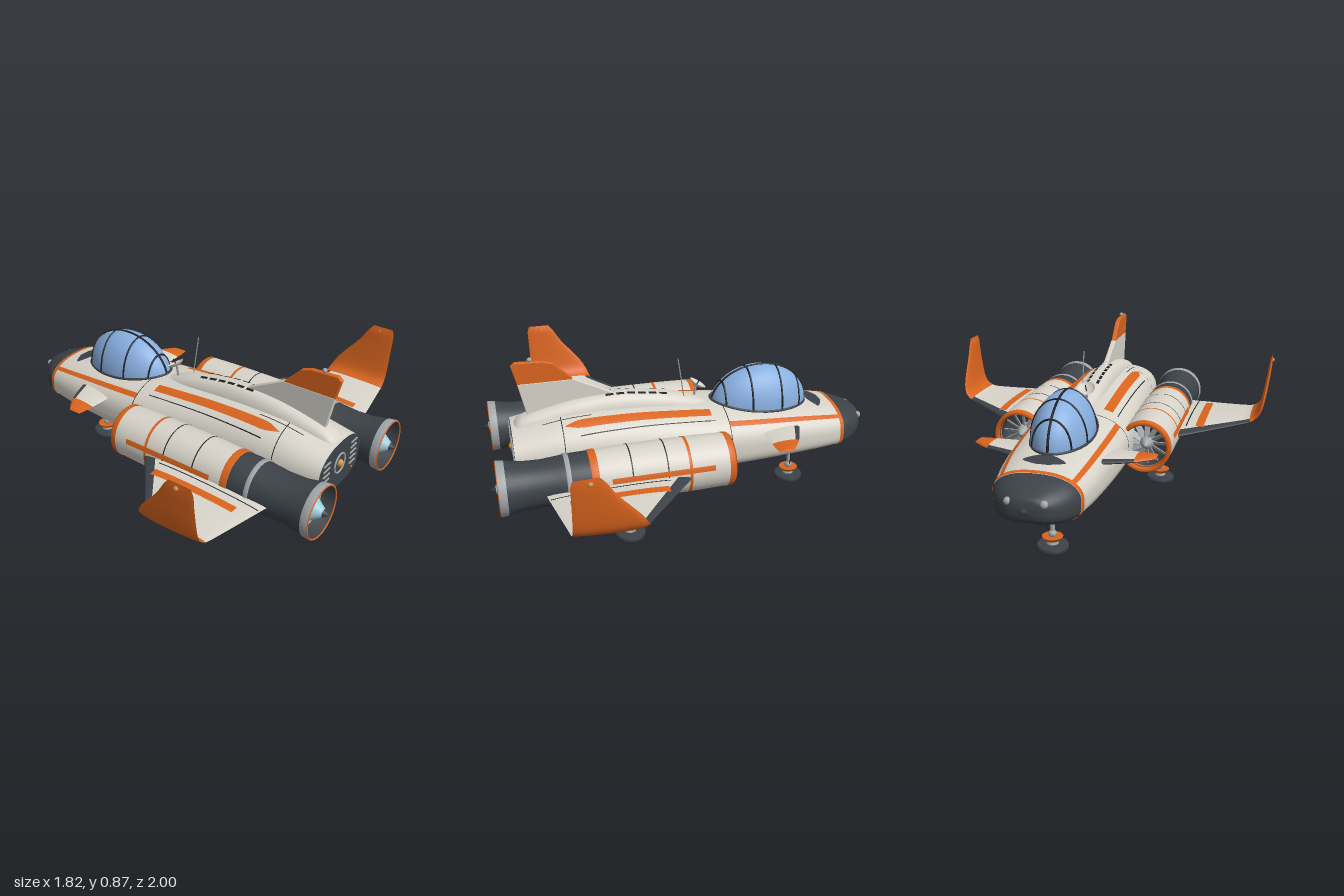
import * as THREE from 'three';

const mat = (name, color) => new THREE.MeshStandardMaterial({ name, color, side: THREE.DoubleSide });
const M = {
  hull: mat('hull cream', 0xd8d4ca), orange: mat('trim orange', 0xd9641e), dark: mat('slate', 0x3c4248),
  black: mat('line black', 0x1d2023), glass: mat('canopy blue', 0x88afe0), grey: mat('metal grey', 0xa0a5a8),
  pale: mat('exhaust blue', 0x9ccbd8), gold: mat('brass', 0xc98f45),
};
const rad = THREE.MathUtils.degToRad;
const V = (x, y, z) => new THREE.Vector3(x, y, z);

function add(parent, name, geo, material, x = 0, y = 0, z = 0) {
  const m = new THREE.Mesh(geo, material);
  m.name = name;
  m.position.set(x, y, z);
  parent.add(m);
  return m;
}
const box = (p, name, m, w, h, d, x, y, z) => add(p, name, new THREE.BoxGeometry(w, h, d), m, x, y, z);
const ball = (p, name, m, r, x, y, z) => add(p, name, new THREE.SphereGeometry(r, 14, 10), m, x, y, z);
const tube = (p, name, m, pts, r, n = 1) =>
  add(p, name, new THREE.TubeGeometry(new THREE.CatmullRomCurve3(pts), n, r, 8), m);
// Lathe round the z axis from [radius, z] pairs
const turned = (p, name, m, pts) =>
  add(p, name, new THREE.LatheGeometry(pts.map(q => new THREE.Vector2(...q)), 40).rotateX(Math.PI / 2), m);

// Smooth surface patch from fn(u, v), both 0..1
function patch(p, name, m, nu, nv, fn) {
  const pos = [], idx = [];
  for (let i = 0; i <= nu; i++) for (let j = 0; j <= nv; j++) pos.push(...fn(i / nu, j / nv));
  for (let i = 0; i < nu; i++) for (let j = 0; j < nv; j++) {
    const a = i * (nv + 1) + j, b = a + nv + 1;
    idx.push(a, b, a + 1, b, b + 1, a + 1);
  }
  const g = new THREE.BufferGeometry();
  g.setAttribute('position', new THREE.Float32BufferAttribute(pos, 3));
  g.setIndex(idx);
  g.computeVertexNormals();
  return add(p, name, g, m);
}
// Cubic interpolation of a station table keyed by its first column
function sample(T, k) {
  let i = 0;
  while (i < T.length - 2 && k > T[i + 1][0]) i++;
  const slope = (j, c) => {
    const a = T[Math.max(j - 1, 0)], b = T[Math.min(j + 1, T.length - 1)];
    return (b[c] - a[c]) / (b[0] - a[0]);
  };
  const A = T[i], B = T[i + 1], h = B[0] - A[0], t = (k - A[0]) / h, t2 = t * t, t3 = t2 * t;
  return A.map((_, c) => c ? (2 * t3 - 3 * t2 + 1) * A[c] + (t3 - 2 * t2 + t) * h * slope(i, c)
    + (3 * t2 - 2 * t3) * B[c] + (t3 - t2) * h * slope(i + 1, c) : k);
}
const mix = THREE.MathUtils.lerp;

// Fuselage stations: z, half width, bottom, top
const BODY = [[-1, .012, .35, .365], [-.99, .075, .31, .4], [-.96, .125, .285, .42], [-.9, .175, .262, .445],
  [-.84, .202, .253, .462], [-.6, .24, .245, .5], [-.2, .262, .232, .54], [0, .256, .235, .56],
  [.3, .24, .235, .582], [.6, .225, .237, .578], [.87, .2, .275, .53]];
const NT = 2.4, NB = 3.2;
function bodyPoint(z, a, off = 0) {
  const [, w, yb, yt] = sample(BODY, z), ym = yb + .45 * (yt - yb);
  const c = Math.cos(a), s = Math.sin(a), n = s > 0 ? NT : NB;
  return [(w + off) * Math.sign(c) * Math.abs(c) ** (2 / n),
    ym + ((s > 0 ? yt - ym : ym - yb) + off) * Math.sign(s) * Math.abs(s) ** (2 / n), z];
}
function topY(x, z) {
  const [, w, yb, yt] = sample(BODY, z), ym = yb + .45 * (yt - yb);
  return ym + (yt - ym) * Math.max(0, 1 - Math.min(1, Math.abs(x) / w) ** NT) ** (1 / NT);
}
const skin = (p, name, m, z0, z1, a0, a1, off = 0, nz = 40, na = 40) =>
  patch(p, name, m, nz, na, (u, v) => bodyPoint(mix(z0, z1, u), rad(mix(a0, a1, v)), off));
// Painted strip on the upper hull, half width given by hw(t)
const decal = (p, name, m, x, z0, z1, hw, n = 24) => patch(p, name, m, n, 6, (u, v) => {
  const z = mix(z0, z1, u), px = x + hw(u) * (2 * v - 1);
  return [px, topY(px, z) + .004, z];
});

// Dorsal spine stations: z, half width, top
const SPINE = [[-.15, .05, .54], [0, .07, .597], [.2, .076, .635], [.35, .077, .645], [.55, .077, .632],
  [.75, .07, .59], [.84, .06, .555], [.855, .045, .53]];
function spinePoint(z, a, off = 0) {
  const [, w, t] = sample(SPINE, z), base = .5;
  return [w * Math.sign(Math.cos(a)) * Math.abs(Math.cos(a)) ** .75, base + off + (t - base) * Math.sin(a) ** .75, z];
}

// Wing stations: u, x, y, leading z, trailing z, thickness
const WING = [[.42, .42, .363, .03, .758, .052], [.78, .78, .378, .335, .695, .03], [.82, .82, .39, .352, .692, .026],
  [.86, .85, .42, .365, .69, .024], [.93, .868, .48, .4, .69, .022], [1.05, .885, .6, .5, .69, .018],
  [1.12, .892, .67, .545, .69, .014], [1.15, .896, .7, .57, .68, .001]];
const CANARD = [[.2, .2, .43, -.585, -.37, .03], [.36, .36, .43, -.515, -.375, .022], [.43, .43, .43, -.465, -.38, .015],
  [.445, .445, .43, -.45, -.385, .001]];
function foil(T, u, s, side, off = 0) {
  const [, x, y, z0, z1, t] = sample(T, u), a = sample(T, u - .002), b = sample(T, u + .002);
  const n = V(a[2] - b[2], b[1] - a[1], 0).normalize();
  const h = side * (t / 2 * Math.max(0, Math.sin(Math.PI * s ** .7)) ** .6 + off);
  return [x + n.x * h, y + n.y * h, mix(z0, z1, s)];
}
const foilSkin = (p, name, m, T, u0, u1, s0, s1, side, off = 0) =>
  patch(p, name, m, 24, 20, (u, v) => foil(T, mix(u0, u1, u), mix(s0, s1, v), side, off));

function surfaces(p, name, T, split, end, edge) {
  const u0 = T[0][0];
  foilSkin(p, name + 'Top', M.hull, T, u0, split, edge, 1, 1);
  foilSkin(p, name + 'LeadingEdge', M.dark, T, u0, split, 0, edge, 1);
  foilSkin(p, name + 'Underside', M.dark, T, u0, split, 0, 1, -1);
  for (const s of [1, -1]) foilSkin(p, name + 'Tip', M.orange, T, split, end, 0, 1, s);
}

function engine(p) {
  const g = new THREE.Group();
  g.name = 'engine';
  g.position.set(.33, .37, 0);
  p.add(g);
  turned(g, 'intakeRing', M.orange, [[.108, -.12], [.112, -.15], [.122, -.163], [.132, -.152], [.134, -.125]]);
  turned(g, 'intakeDuct', M.dark, [[.11, -.14], [.105, -.03], [0, -.03]]);
  turned(g, 'cowl', M.hull, [[.132, -.126], [.135, 0], [.136, .2], [.134, .4], [.129, .51]]);
  turned(g, 'rearBand', M.orange, [[.13, .505], [.132, .51], [.131, .54], [.127, .542]]);
  turned(g, 'nozzle', M.dark, [[.127, .54], [.125, .64], [.12, .68], [.113, .76], [.115, .85], [.129, .93]]);
  turned(g, 'nozzleCollar', M.grey, [[.124, .632], [.128, .634], [.128, .654], [.122, .656]]);
  turned(g, 'nozzleLip', M.grey, [[.129, .928], [.133, .965], [.124, .967]]);
  turned(g, 'nozzleLiner', M.dark, [[.124, .966], [.108, .86], [0, .86]]);
  add(g, 'nozzleTrim', new THREE.TorusGeometry(.127, .004, 8, 40), M.orange, 0, 0, .966);
  add(g, 'exhaustRing', new THREE.TorusGeometry(.1, .005, 8, 40), M.grey, 0, 0, .9);
  turned(g, 'exhaustCone', M.pale, [[.082, .86], [.078, .89], [.02, .975]]);
  turned(g, 'coneTip', M.dark, [[.022, .972], [0, 1]]);
  for (const [z, r, m] of [[.07, .1375, M.orange], [.18, .1375, M.black], [.35, .1365, M.black]])
    turned(g, 'cowlLine', m, [[r, z - (m === M.orange ? .007 : .003)], [r, z + (m === M.orange ? .007 : .003)]]);
  patch(g, 'cowlStripe', M.orange, 16, 4, (u, v) => {
    const a = rad(mix(9, 20, v));
    return [.1378 * Math.cos(a), .1378 * Math.sin(a), mix(-.05, .45, u)];
  });
  // Fan blades in front, guide vanes behind
  for (let i = 0; i < 12; i++) {
    const a = i * Math.PI / 6;
    const blade = box(g, 'fanBlade', M.grey, .075, .004, .035, .07 * Math.cos(a), .07 * Math.sin(a), -.075);
    blade.rotation.set(0, 0, a);
    blade.rotateX(.7);
    const vane = box(g, 'exhaustVane', M.grey, .04, .006, .03, .095 * Math.cos(a), .095 * Math.sin(a), .885);
    vane.rotation.z = a;
  }
  turned(g, 'fanHub', M.grey, [[0, -.135], [.02, -.115], [.035, -.08], [.036, -.03]]);
}

function landingGear(p, name, x, z, top) {
  const g = new THREE.Group();
  g.name = name;
  g.position.set(x, 0, z);
  p.add(g);
  const disc = (n, m, r0, r1, y0, y1) => add(g, n, new THREE.CylinderGeometry(r1, r0, y1 - y0, 28), m, 0, (y0 + y1) / 2, 0);
  const pad = [[0, 0], [.068, 0], [.077, .008], [.077, .024], [.07, .032], [0, .032]];
  add(g, 'footPad', new THREE.LatheGeometry(pad.map(q => new THREE.Vector2(...q)), 32), M.dark);
  disc('ankle', M.grey, .03, .024, .03, .05);
  disc('footCollar', M.orange, .036, .05, .05, .068);
  ball(g, 'ankleJoint', M.grey, .02, 0, .08, 0);
  disc('strut', M.grey, .011, .011, .07, .2);
  disc('strutCollar', M.orange, .021, .021, .176, .194);
  disc('strutSleeve', M.dark, .017, .02, .19, top + .02);
  for (const s of [-1, 1]) tube(g, 'brace', M.dark, [V(0, .185, s * .01), V(0, top + .01, s * .032)], .007);
  tube(g, 'hose', M.black, [V(.012, .19, 0), V(.028, .14, 0), V(.012, .08, 0)], .003, 10);
  box(g, 'gearDoor', M.black, .08, .008, .12, 0, top - .002, 0);
}

function canopy(p) {
  const c = V(0, .5, -.42), R = V(.145, .21, .26);
  add(p, 'canopy', new THREE.SphereGeometry(1, 40, 28).scale(R.x, R.y, R.z), M.glass, c.x, c.y, c.z);
  const arc = f => Array.from({ length: 25 }, (_, i) => f(Math.PI * i / 24));
  tube(p, 'canopyKeel', M.black, arc(a => V(0, c.y + R.y * Math.sin(a), c.z + R.z * Math.cos(a))), .006, 40);
  for (const z of [-.62, -.51, -.35, -.22]) {
    const k = Math.sqrt(1 - ((z - c.z) / R.z) ** 2);
    tube(p, 'canopyHoop', M.black, arc(a => V(R.x * k * Math.cos(a), c.y + R.y * k * Math.sin(a), z)), .005, 32);
  }
  tube(p, 'canopyRim', M.dark, arc(t => {
    const x = R.x * Math.cos(2 * t), z = c.z + R.z * Math.sin(2 * t);
    return V(x, topY(x, z) + .002, z);
  }), .007, 64);
}

function tail(p) {
  // Fin outlines in (z, y)
  const fin = (name, m, pts, d) => add(p, name, new THREE.ExtrudeGeometry(
    new THREE.Shape(pts.map(q => new THREE.Vector2(...q))),
    { depth: d, bevelThickness: .005, bevelSize: .004, bevelSegments: 2 }).rotateY(-Math.PI / 2), m, d / 2);
  fin('finBase', M.hull, [[.34, .62], [.35, .64], [.55, .74], [.815, .74], [.78, .57]], .016);
  fin('finTip', M.orange, [[.55, .74], [.64, .83], [.69, .845], [.82, .85], [.838, .835], [.815, .74]], .014);
  ball(p, 'finLight', M.grey, .012, 0, .86, .75);
  // Rear bulkhead
  const rim = Array.from({ length: 64 }, (_, i) => new THREE.Vector2(...bodyPoint(.87, i * Math.PI / 32).slice(0, 2)));
  add(p, 'rearPanel', new THREE.ShapeGeometry(new THREE.Shape(rim)), M.dark, 0, 0, .87);
  add(p, 'portRing', new THREE.TorusGeometry(.05, .005, 8, 32), M.grey, 0, .41, .872);
  ball(p, 'portCentre', M.gold, .02, 0, .41, .87);
  for (const s of [-1, 1]) {
    for (let i = 0; i < 5; i++) box(p, 'rearVent', M.grey, .06, .006, .008, s * .13, .35 + i * .03, .872);
    ball(p, 'rearLamp', M.orange, .006, s * .13, .32, .872);
  }
}

export function createModel() {
  const g = new THREE.Group();
  g.name = 'spaceplane';

  // Fuselage
  patch(g, 'nose', M.dark, 20, 64, (u, v) => bodyPoint(-1 + .16 * u * u, v * 2 * Math.PI));
  skin(g, 'hull', M.hull, -.84, .87, -50, 230, 0, 60, 60);
  skin(g, 'belly', M.dark, -.84, .87, 230, 310, 0, 60, 24);
  skin(g, 'noseBand', M.orange, -.842, -.82, -50, 230, .003, 2, 50);
  for (const z of [-.2, .63]) skin(g, 'panelLine', M.black, z - .002, z + .002, -50, 230, .002, 1, 50);
  decal(g, 'nosePlate', M.dark, 0, -.77, -.69, t => .1 - .07 * Math.abs(2 * t - 1) ** 1.5);
  patch(g, 'spine', M.hull, 50, 24, (u, v) => spinePoint(mix(-.15, .855, u), v * Math.PI));
  canopy(g);
  tail(g);

  for (const s of [-1, 1]) {
    skin(g, 'sideStripe', M.orange, -.82, -.2, s > 0 ? 37 : 134, s > 0 ? 46 : 143, .003, 30, 4);
    decal(g, 'backStripe', M.orange, s * .138, -.12, .62, t => .023 * Math.min(1, (1 - t) * 10));
    decal(g, 'backLine', M.black, s * .19, -.13, .55, () => .002);
    decal(g, 'rearLine', M.black, s * .095, .48, .72, () => .002);
    for (let i = 0; i < 6; i++) {
      const z = .1 + i * .055;
      patch(g, 'spineVent', M.black, 4, 2, (u, v) => {
        const pz = z + .04 * (u - .5), x = s * .027 + .014 * (v - .5), w = sample(SPINE, pz)[1];
        return [x, spinePoint(pz, Math.acos((Math.abs(x) / w) ** (4 / 3)), .004)[1], pz];
      });
    }
    box(g, 'bellySkid', M.dark, .08, .04, .175, s * .14, .23, -.145);
    ball(g, 'noseLight', M.grey, .018, s * .08, .385, -.975);
  }
  ball(g, 'chinSensor', M.grey, .018, 0, .245, -.7);

  // Aerial and dish
  tube(g, 'aerial', M.grey, [V(.028, .58, -.01), V(.028, .8, .022)], .003);
  tube(g, 'dishPost', M.grey, [V(-.015, .54, -.07), V(-.015, .625, -.085)], .006);
  const bowl = [[0, 0], [.02, .003], [.036, .01], [.046, .02]].map(q => new THREE.Vector2(...q));
  add(g, 'dish', new THREE.LatheGeometry(bowl, 28), M.hull, -.015, .62, -.085).rotation.x = -.55;
  tube(g, 'dishFeed', M.black, [V(-.015, .62, -.085), V(-.015, .655, -.107)], .003);

  // One side, then its mirror
  const left = new THREE.Group();
  left.name = 'leftSide';
  engine(left);
  surfaces(left, 'wing', WING, .81, 1.15, .1);
  surfaces(left, 'canard', CANARD, .355, .445, .14);
  const onWing = (name, m, x0, x1, z0, z1) => patch(left, name, m, 2, 16, (u, v) => {
    const x = mix(x0, x1, u), [, , , a, b] = sample(WING, x);
    return foil(WING, x, (mix(z0, z1, v) - a) / (b - a), 1, .003);
  });
  onWing('wingStripe', M.orange, .537, .58, .2, .66);
  onWing('wingLine', M.black, .487, .493, .18, .74);
  ball(left, 'wingtipLight', M.gold, .012, .897, .675, .61);
  landingGear(left, 'rearGear', .33, .35, .24);
  g.add(left);
  const right = left.clone();
  right.name = 'rightSide';
  right.scale.x = -1;
  g.add(right);
  landingGear(g, 'noseGear', 0, -.625, .245);
  return g;
}
